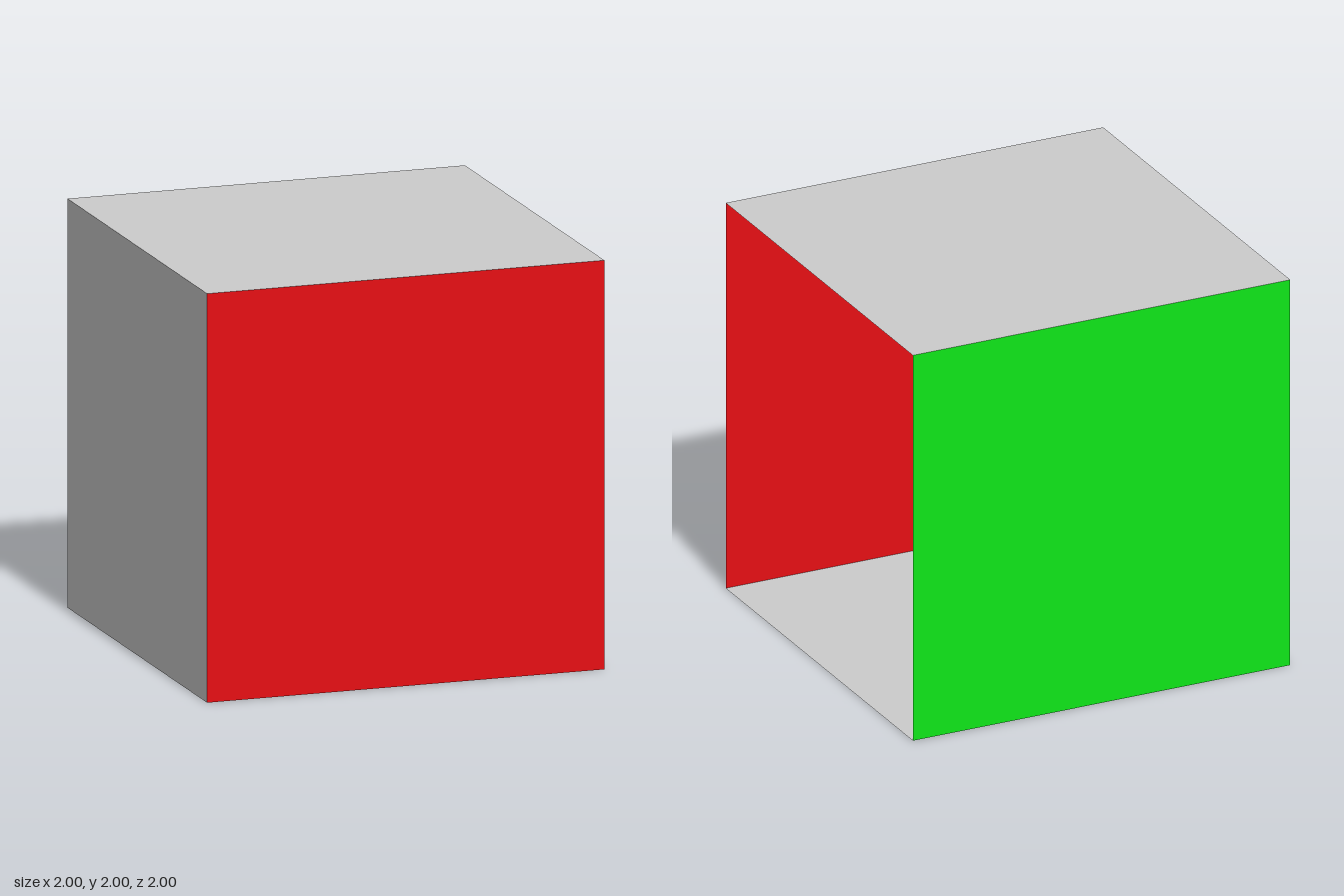
import * as THREE from 'three';

const SIZE = 2;
const grey = new THREE.MeshStandardMaterial({ color: 0xcccccc, side: THREE.DoubleSide });
const red = new THREE.MeshStandardMaterial({ color: 0xe70f14, side: THREE.DoubleSide });
const green = new THREE.MeshStandardMaterial({ color: 0x0fe719, side: THREE.DoubleSide });

// Thin square panel, one side of the room
function panel(name, material, position, rotation) {
  const mesh = new THREE.Mesh(new THREE.PlaneGeometry(SIZE, SIZE), material);
  mesh.name = name;
  mesh.position.set(...position);
  mesh.rotation.set(...rotation);
  return mesh;
}

// Square block standing on the floor, turned about its vertical axis
function block(name, side, bottom, top, x, z, turn) {
  const height = top - bottom;
  const mesh = new THREE.Mesh(new THREE.BoxGeometry(side, height, side), grey);
  mesh.name = name;
  mesh.position.set(x, bottom + height / 2, z);
  mesh.rotation.y = turn;
  return mesh;
}

export function createModel() {
  const model = new THREE.Group();
  model.name = 'openRoomWithBlocks';
  const q = Math.PI / 2;

  // Room, open towards +x
  model.add(
    panel('floor', grey, [0, 0, 0], [-q, 0, 0]),
    panel('ceiling', grey, [0, SIZE, 0], [q, 0, 0]),
    panel('innerWall', grey, [-1, 1, 0], [0, q, 0]),
    panel('redWall', red, [0, 1, 1], [0, 0, 0]),
    panel('greenWall', green, [0, 1, -1], [0, Math.PI, 0]),
  );

  // Blocks inside
  model.add(
    block('tallBlock', 0.64, 0.01, 1.08, -0.36, 0.4, 0.23),
    block('shortBlock', 0.433, 0.005, 0.58, 0.325, -0.36, -0.5),
  );
  return model;
}
